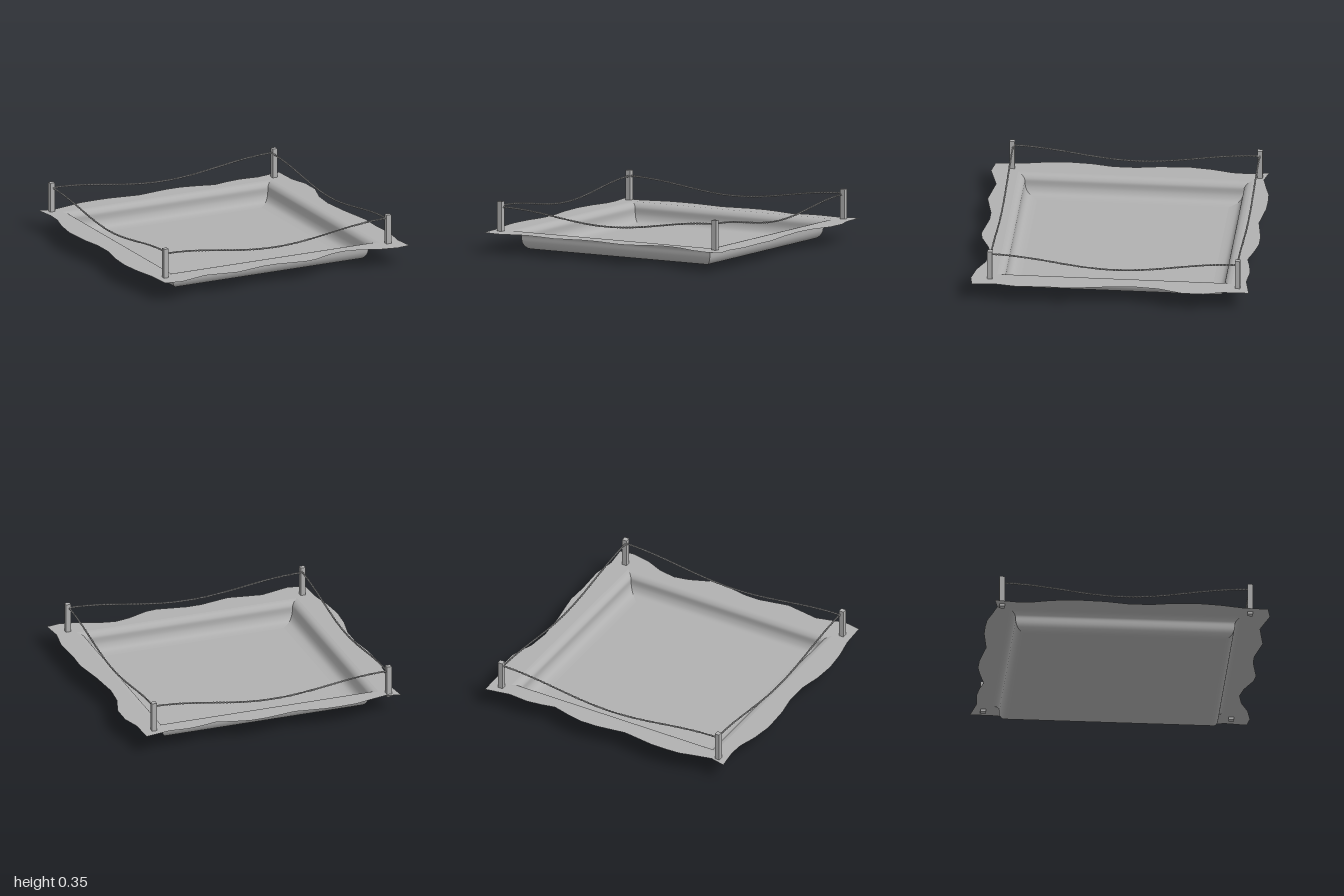
import * as THREE from 'three';

const RIM_Y = 0.14, CZ = -0.03;

// Wavy sheet outline as [x, z] pairs, one list per edge, clockwise from the back left corner
const backEdge = [[-0.95, -0.957], [-0.84, -0.93], [-0.72, -0.957], [-0.61, -0.985], [-0.5, -0.99], [-0.385, -0.988], [-0.16, -0.957],
  [0.06, -0.988], [0.18, -0.988], [0.3, -0.963], [0.42, -0.93], [0.52, -0.952], [0.63, -0.965], [0.77, -0.952]];
const rightEdge = [[0.952, -0.985], [0.957, -0.8], [0.995, -0.67], [0.995, -0.52], [0.94, -0.35], [0.925, -0.19], [0.946, 0.03],
  [0.984, 0.27], [0.979, 0.43], [0.989, 0.64], [0.963, 0.8]];
const frontEdge = [[0.979, 0.952], [0.88, 0.968], [0.743, 0.941], [0.62, 0.888], [0.497, 0.866], [0.39, 0.888], [0.246, 0.947],
  [0.166, 0.957], [-0.05, 0.92], [-0.155, 0.92], [-0.37, 0.963], [-0.61, 0.925], [-0.818, 0.979]];
const leftEdge = [[-0.941, 0.957], [-0.952, 0.775], [-0.984, 0.615], [-1, 0.455], [-0.989, 0.294], [-0.957, 0.134], [-0.957, -0.027],
  [-0.984, -0.187], [-0.995, -0.4], [-0.973, -0.56], [-0.936, -0.695], [-0.93, -0.8]];

// Basin wall profile: [distance from centre, height], rim to floor
const profile = [[0.82, 0.14], [0.8, 0.136], [0.785, 0.128], [0.773, 0.115], [0.767, 0.1], [0.766, 0.075],
  [0.763, 0.055], [0.755, 0.036], [0.743, 0.02], [0.726, 0.009], [0.7, 0.003], [0.67, 0]];

// One mitred wall of the basin, on the +z side
function wallGeometry() {
  const curve = new THREE.SplineCurve(profile.map(([d, y]) => new THREE.Vector2(d, y)));
  const pts = curve.getPoints(33);
  const pos = [], index = [];
  pts.forEach((p, i) => {
    pos.push(-p.x, p.y, p.x, p.x, p.y, p.x);
    if (i > 0) {
      const a = 2 * (i - 1);
      index.push(a, a + 1, a + 2, a + 1, a + 3, a + 2);
    }
  });
  const g = new THREE.BufferGeometry();
  g.setAttribute('position', new THREE.Float32BufferAttribute(pos, 3));
  g.setIndex(index);
  g.computeVertexNormals();
  return g;
}

// Sagging strand wound round the rope's centre line
class RopeStrand extends THREE.Curve {
  constructor(a, b, phase) {
    super();
    Object.assign(this, { a, b, phase });
  }
  getPoint(t, target = new THREE.Vector3()) {
    const { a, b, phase } = this;
    const sag = 0.08 * (1 + Math.cos(Math.PI * (2 * t - 1))) / 2;
    const twist = phase + t * a.distanceTo(b) / 0.05 * Math.PI * 2;
    const side = new THREE.Vector3(b.z - a.z, 0, a.x - b.x).normalize();
    target.lerpVectors(a, b, t).addScaledVector(side, 0.003 * Math.cos(twist));
    target.y += 0.003 * Math.sin(twist) - sag;
    return target;
  }
}

export function createModel() {
  const model = new THREE.Group();
  const grey = new THREE.MeshStandardMaterial({ color: 0xb0b0b0 });
  grey.name = 'plainGrey';
  grey.side = THREE.DoubleSide;
  const add = (name, geometry, parent = model) => {
    const mesh = new THREE.Mesh(geometry, grey);
    mesh.name = name;
    parent.add(mesh);
    return mesh;
  };

  // Flat surround with a ragged edge and a square opening
  const outline = [...backEdge, ...rightEdge, ...frontEdge, ...leftEdge];
  const shape = new THREE.Shape(outline.map(([x, z]) => new THREE.Vector2(x, -z)));
  const r = profile[0][0];
  shape.holes.push(new THREE.Path([[-r, -r], [r, -r], [r, r], [-r, r]].map(([x, z]) => new THREE.Vector2(x, -(z + CZ)))));
  add('groundSurround', new THREE.ShapeGeometry(shape).rotateX(-Math.PI / 2)).position.y = RIM_Y;

  // Sunken basin: four walls and a floor
  const basin = new THREE.Group();
  basin.name = 'basin';
  basin.position.z = CZ;
  model.add(basin);
  const wall = wallGeometry();
  for (let i = 0; i < 4; i++) add('basinWall', wall, basin).rotation.y = i * Math.PI / 2;
  const floorSize = 2 * profile[profile.length - 1][0];
  add('basinFloor', new THREE.PlaneGeometry(floorSize, floorSize).rotateX(-Math.PI / 2), basin);

  // Corner posts
  const postGeometry = new THREE.BoxGeometry(0.036, 0.23, 0.036);
  for (const x of [-0.877, 0.868])
    for (const z of [-0.9, 0.835]) add('cornerPost', postGeometry).position.set(x, 0.235, z);

  // Twisted ropes between the posts
  const x0 = -0.868, x1 = 0.86, z0 = -0.898, z1 = 0.828;
  const spans = [[x0, z0, x1, z0], [x0, z1, x1, z1], [x0, z0, x0, z1], [x1, z0, x1, z1]];
  for (const [ax, az, bx, bz] of spans) {
    const rope = new THREE.Group();
    rope.name = 'rope';
    model.add(rope);
    const a = new THREE.Vector3(ax, 0.31, az), b = new THREE.Vector3(bx, 0.32, bz);
    for (const phase of [0, Math.PI])
      add('ropeStrand', new THREE.TubeGeometry(new RopeStrand(a, b, phase), 320, 0.004, 6), rope);
  }
  return model;
}
